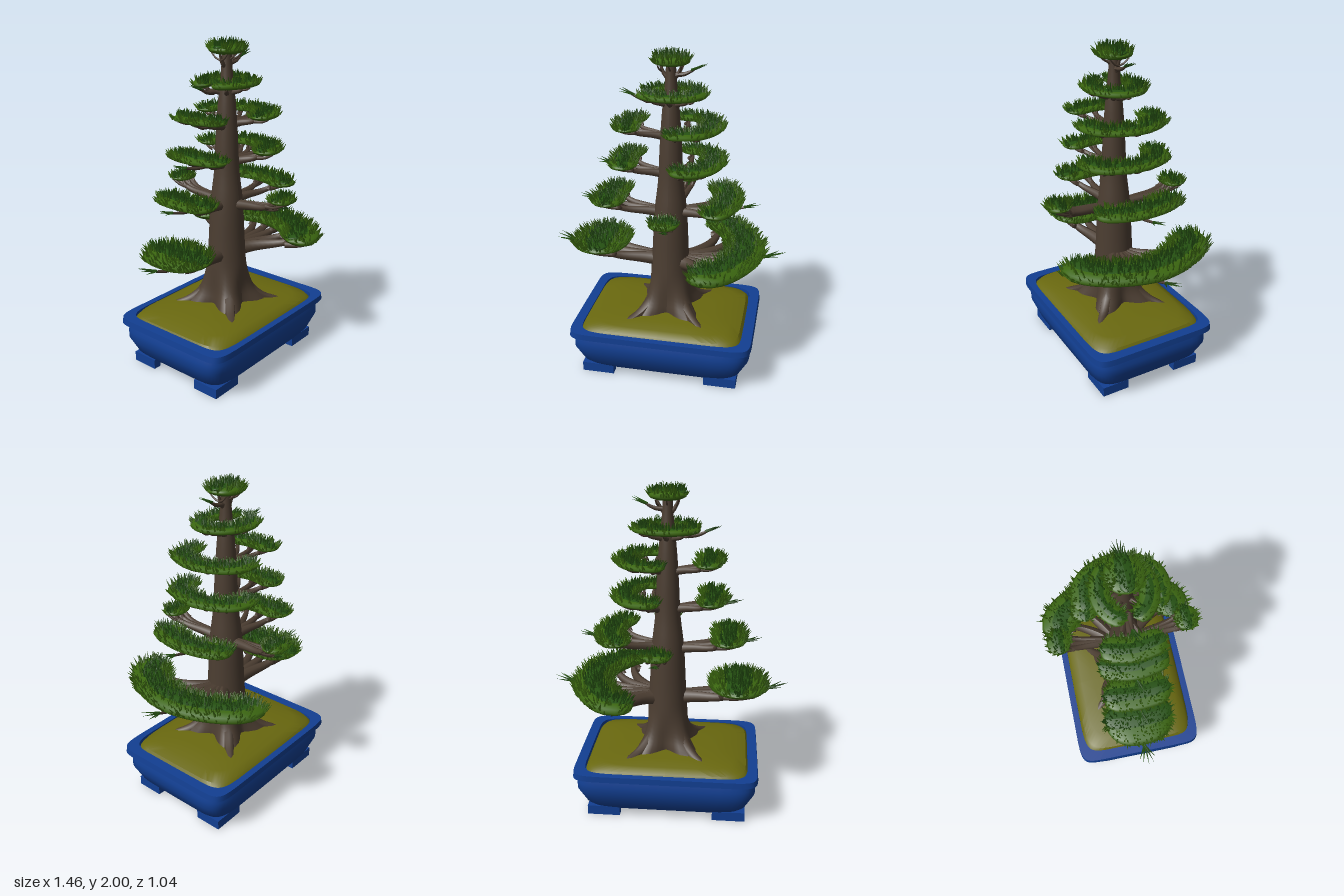
import * as THREE from 'three';
import { mergeGeometries, toCreasedNormals } from 'three/addons/utils/BufferGeometryUtils.js';

const material = (name, color) => Object.assign(new THREE.MeshStandardMaterial({ color }), { name });
const V = (x, y, z) => new THREE.Vector3(x, y, z);
const CX = 0.015; // trunk axis

let seed = 7;
const rand = () => (seed = (seed * 16807) % 2147483647) / 2147483647;

// Stack of superelliptic rings [y, halfX, halfZ, exponent]
function loft(rings, seg = 48) {
  const pos = [], index = [];
  rings.forEach(([y, hx, hz, n], i) => {
    for (let j = 0; j < seg; j++) {
      const a = (j / seg) * Math.PI * 2, c = Math.cos(a), s = Math.sin(a);
      pos.push(Math.sign(c) * hx * Math.abs(c) ** (2 / n), y, Math.sign(s) * hz * Math.abs(s) ** (2 / n));
      if (i === rings.length - 1) continue;
      const p = i * seg + j, q = i * seg + ((j + 1) % seg);
      index.push(p, p + seg, q, q, p + seg, q + seg);
    }
  });
  const g = new THREE.BufferGeometry();
  g.setAttribute('position', new THREE.Float32BufferAttribute(pos, 3));
  g.setIndex(index);
  return toCreasedNormals(g, 0.6);
}

// Sweep along a curve: width(t) sideways, height(t) vertically
function sweep(curve, width, height = width, seg = 14, sides = 8) {
  const g = new THREE.TubeGeometry(curve, seg, 1, sides);
  const p = g.attributes.position;
  for (let i = 0; i <= seg; i++) {
    const t = i / seg, c = curve.getPointAt(t);
    for (let j = 0; j <= sides; j++) {
      const k = i * (sides + 1) + j;
      p.setXYZ(k, c.x + (p.getX(k) - c.x) * width(t), c.y + (p.getY(k) - c.y) * height(t),
        c.z + (p.getZ(k) - c.z) * width(t));
    }
  }
  g.computeVertexNormals();
  return g;
}
const limb = (pts, r0, r1) => sweep(new THREE.CatmullRomCurve3(pts), t => r0 + (r1 - r0) * t);

// Three-sided needle from a base point along a direction
function needle(base, dir, length, radius) {
  const g = new THREE.ConeGeometry(radius, length, 3, 1, true).translate(0, length / 2, 0);
  g.applyQuaternion(new THREE.Quaternion().setFromUnitVectors(V(0, 1, 0), dir.normalize()));
  return g.translate(base.x, base.y, base.z);
}

// Foliage pads: centre line [x, z], height, half width, half thickness, branch height and radius
const ring = [];
for (let i = 0; i <= 12; i++) {
  const a = Math.PI + 0.12 + (i / 12) * (Math.PI * 2 - 0.24);
  ring.push([CX + 0.16 * Math.cos(a), 0.13 * Math.sin(a)]);
}
const pads = [
  { line: [[-0.41, -0.215], [-0.425, 0], [-0.41, 0.21]], y: 0.775, w: 0.175, h: 0.038, by: 0.69, br: 0.05 },
  { line: [[0.18, -0.36], [0.3, -0.37], [0.42, -0.22], [0.48, 0], [0.42, 0.22], [0.3, 0.36], [0.18, 0.35]],
    y: 0.775, w: 0.12, h: 0.038, by: 0.69, br: 0.05 },
  { line: [[-0.34, -0.2], [-0.36, 0], [-0.34, 0.2]], y: 1.085, w: 0.1, h: 0.025, by: 1.01, br: 0.036 },
  { line: [[0.27, -0.27], [0.34, -0.13], [0.36, 0], [0.34, 0.13], [0.27, 0.27]], y: 1.095, w: 0.09, h: 0.025, by: 1.02, br: 0.036 },
  { line: [[-0.035, -0.39], [0.05, -0.395], [0.13, -0.39]], y: 1.085, w: 0.07, h: 0.022, by: 1.01, br: 0.036 },
  { line: [[-0.035, 0.385], [0.05, 0.39], [0.13, 0.385]], y: 1.085, w: 0.07, h: 0.022, by: 1.01, br: 0.036 },
  { line: [[-0.23, -0.2], [-0.27, 0], [-0.23, 0.2]], y: 1.325, w: 0.08, h: 0.022, by: 1.26, br: 0.03 },
  { line: [[0.04, -0.22], [0.2, -0.19], [0.27, 0], [0.2, 0.19], [0.04, 0.22]], y: 1.335, w: 0.075, h: 0.022, by: 1.26, br: 0.03 },
  { line: [[-0.21, -0.18], [-0.245, 0], [-0.21, 0.18]], y: 1.545, w: 0.075, h: 0.02, by: 1.49, br: 0.026 },
  { line: [[0.01, -0.21], [0.18, -0.18], [0.26, 0], [0.18, 0.18], [0.01, 0.21]], y: 1.545, w: 0.07, h: 0.02, by: 1.49, br: 0.026 },
  { line: ring, y: 1.73, w: 0.055, h: 0.02, by: 1.68, br: 0.02 },
  { line: [[-0.095, 0], [0.015, 0.001], [0.125, 0]], y: 1.92, w: 0.105, h: 0.03, by: 1.82, br: 0.018 },
];

// Bare shoots poking past the pads: start and tip
const shoots = [
  [[-0.45, 0.72, 0], [-0.62, 0.755, 0]], [[0.45, 0.72, 0], [0.62, 0.755, 0]],
  [[-0.25, 1.03, 0], [-0.48, 1.06, 0]], [[0.25, 1.04, 0], [0.48, 1.07, 0]],
  [[-0.15, 1.27, 0], [-0.36, 1.295, 0]], [[-0.1, 1.69, 0], [-0.22, 1.72, 0]],
  [[0.04, 1.84, 0], [0.15, 1.875, 0]], [[-0.15, 1.5, 0], [-0.26, 1.52, 0]],
  [[0.04, 1.01, -0.25], [0.05, 1.03, -0.41]], [[0.05, 1.01, 0.25], [0.05, 1.03, 0.38]],
];

export function createModel() {
  const model = new THREE.Group();
  const glaze = material('blue glaze', 0x123f92);
  const moss = material('moss', 0x69680f);
  const bark = material('bark', 0x4b3d31);
  const leaf = material('leaf green', 0x3b6610);
  const darkLeaf = material('dark leaf green', 0x265212);
  darkLeaf.side = leaf.side = THREE.DoubleSide;
  const add = (name, geometry, mat) => {
    const m = new THREE.Mesh(geometry, mat);
    m.name = name;
    model.add(m);
    return m;
  };

  // Pot, moss mound and corner feet
  add('pot', loft([[0.05, 0, 0, 8], [0.05, 0.47, 0.33, 8], [0.085, 0.505, 0.36, 8], [0.18, 0.552, 0.397, 8],
    [0.23, 0.552, 0.397, 8], [0.27, 0.54, 0.386, 9], [0.275, 0.565, 0.412, 12], [0.312, 0.56, 0.41, 12],
    [0.312, 0.5, 0.37, 9], [0.28, 0.5, 0.37, 9], [0.28, 0, 0, 9]]), glaze).position.x = 0.005;
  add('mossMound', loft([[0.295, 0.5, 0.37, 8], [0.318, 0.485, 0.355, 7], [0.338, 0.42, 0.31, 5],
    [0.352, 0.3, 0.23, 3], [0.362, 0.15, 0.12, 2], [0.365, 0, 0, 2]]), moss);
  for (const sx of [-1, 1]) for (const sz of [-1, 1]) {
    add('footFront', new THREE.BoxGeometry(0.2, 0.06, 0.05).translate(sx * 0.385, 0.03, sz * 0.31), glaze);
    add('footSide', new THREE.BoxGeometry(0.05, 0.06, 0.17).translate(sx * 0.46, 0.03, sz * 0.25), glaze);
  }

  // Trunk flaring into four diagonal roots
  const profile = [[0.31, 0.21], [0.37, 0.18], [0.45, 0.145], [0.58, 0.125], [0.75, 0.113], [1, 0.1], [1.2, 0.077],
    [1.4, 0.067], [1.6, 0.054], [1.8, 0.034], [1.91, 0.028]].map(([y, r]) => new THREE.Vector2(r, y));
  const trunk = new THREE.LatheGeometry(new THREE.SplineCurve(profile).getPoints(40), 40);
  const tp = trunk.attributes.position;
  for (let i = 0; i < tp.count; i++) {
    const x = tp.getX(i), y = tp.getY(i), z = tp.getZ(i);
    const k = 1 - 0.38 * Math.cos(4 * Math.atan2(z, x)) * Math.max(0, (0.62 - y) / 0.3) ** 1.5;
    tp.setXYZ(i, x * k + CX, y, z * k);
  }
  trunk.computeVertexNormals();
  add('trunk', trunk, bark);
  for (let i = 0; i < 4; i++) {
    const a = Math.PI / 4 + (i * Math.PI) / 2, at = (r, y) => V(CX + r * Math.cos(a), y, r * Math.sin(a));
    add('root', limb([at(0.07, 0.55), at(0.14, 0.42), at(0.23, 0.355), at(0.33, 0.325)], 0.055, 0.022), bark);
  }

  pads.forEach(({ line, y, w, h, by, br }) => {
    const curve = new THREE.CatmullRomCurve3(line.map(([x, z]) => V(x, y, z)));
    const length = curve.getLength();
    // Round ends whose length matches the pad's half width
    const end = Math.min(0.5, w / length);
    const round = t => Math.sqrt(Math.max(0, 1 - Math.max(0, 1 - Math.min(t, 1 - t) / end) ** 2)) + 0.001;
    add('foliagePad', sweep(curve, t => w * round(t), t => h * round(t), 36, 12), leaf);
    const core = new THREE.CatmullRomCurve3(line.map(([x, z]) => V(x, y + h * 0.55, z)));
    add('foliageCore', sweep(core, t => w * 0.55 * round(t), t => h * 0.5 * round(t), 30, 8), darkLeaf);

    // Needles, darker along the middle of the pad
    const sets = [[], []];
    const count = Math.round(length * w * 5500) + 60;
    for (let i = 0; i < count; i++) {
      const t = 0.01 + 0.98 * rand(), s = Math.max(-1, Math.min(1, (rand() * 2 - 1) * 1.15));
      const tan = curve.getTangentAt(t), side = V(-tan.z, 0, tan.x);
      const base = curve.getPointAt(t).addScaledVector(side, s * w * round(t) * 0.97);
      base.y += h * round(t) * Math.sqrt(1 - s * s) * 0.9;
      const dir = V((rand() - 0.5) * 0.5, 1, (rand() - 0.5) * 0.5).addScaledVector(side, s ** 3 * 0.8);
      dir.addScaledVector(tan, (2 * t - 1) ** 5 * 0.8);
      sets[Math.abs(s) < 0.5 ? 1 : 0].push(needle(base, dir, (0.6 + 0.5 * rand()) * (0.03 + h * 0.6), 0.007));
    }
    add('needles', mergeGeometries(sets[0]), leaf);
    add('innerNeedles', mergeGeometries(sets[1]), darkLeaf);

    // Branches fanning out beneath the pad
    const stops = length > 0.6 ? [0.1, 0.25, 0.4, 0.5, 0.6, 0.75, 0.9] : [0.2, 0.5, 0.8];
    const mid = curve.getPointAt(0.5);
    const parts = stops.map(t => {
      const p = curve.getPointAt(t), fork = mid.clone().lerp(p, line === ring ? 1 : 0.6);
      const at = (q, k, yy) => V(CX + (q.x - CX) * k, yy, q.z * k);
      return limb([V(CX, by - 0.02, 0), at(fork, 0.4, by), at(fork.lerp(p, 0.5), 0.75, by + (y - by) * 0.25),
        V(p.x, y - h * 0.5, p.z)], br, br * 0.3);
    });
    // Short twigs splaying to the pad edges
    for (const t of stops) for (const s of [-0.7, 0.7]) {
      const p = curve.getPointAt(t), tan = curve.getTangentAt(t);
      const start = V(CX + (p.x - CX) * 0.8, by + (y - by) * 0.4, p.z * 0.8);
      const tip = p.clone().addScaledVector(V(-tan.z, 0, tan.x), s * w * round(t));
      tip.y -= h * 0.6;
      parts.push(limb([start, start.clone().lerp(tip, 0.5).add(V(0, -0.008, 0)), tip], br * 0.4, br * 0.2));
    }
    add('branches', mergeGeometries(parts), bark);
  });

  // Shoots with a fan of needles at the tip
  shoots.forEach(([a, b], i) => {
    const p = V(...a), q = V(...b), dir = q.clone().sub(p).normalize();
    add('shoot', limb([p, p.clone().lerp(q, 0.5).add(V(0, -0.01, 0)), q], 0.016, 0.006), bark);
    const size = i < 2 ? 0.12 : i > 7 ? 0.07 : 0.09, fan = [];
    for (let k = -2; k <= 2; k++) {
      const d = dir.clone().add(V(-dir.z * k * 0.28, 0.12 + 0.1 * (k % 2), dir.x * k * 0.28));
      fan.push(needle(q.clone().addScaledVector(dir, -0.02), d, size * (1.15 - 0.12 * Math.abs(k)), 0.009));
    }
    add('shootNeedles', mergeGeometries(fan), darkLeaf);
  });
  return model;
}
